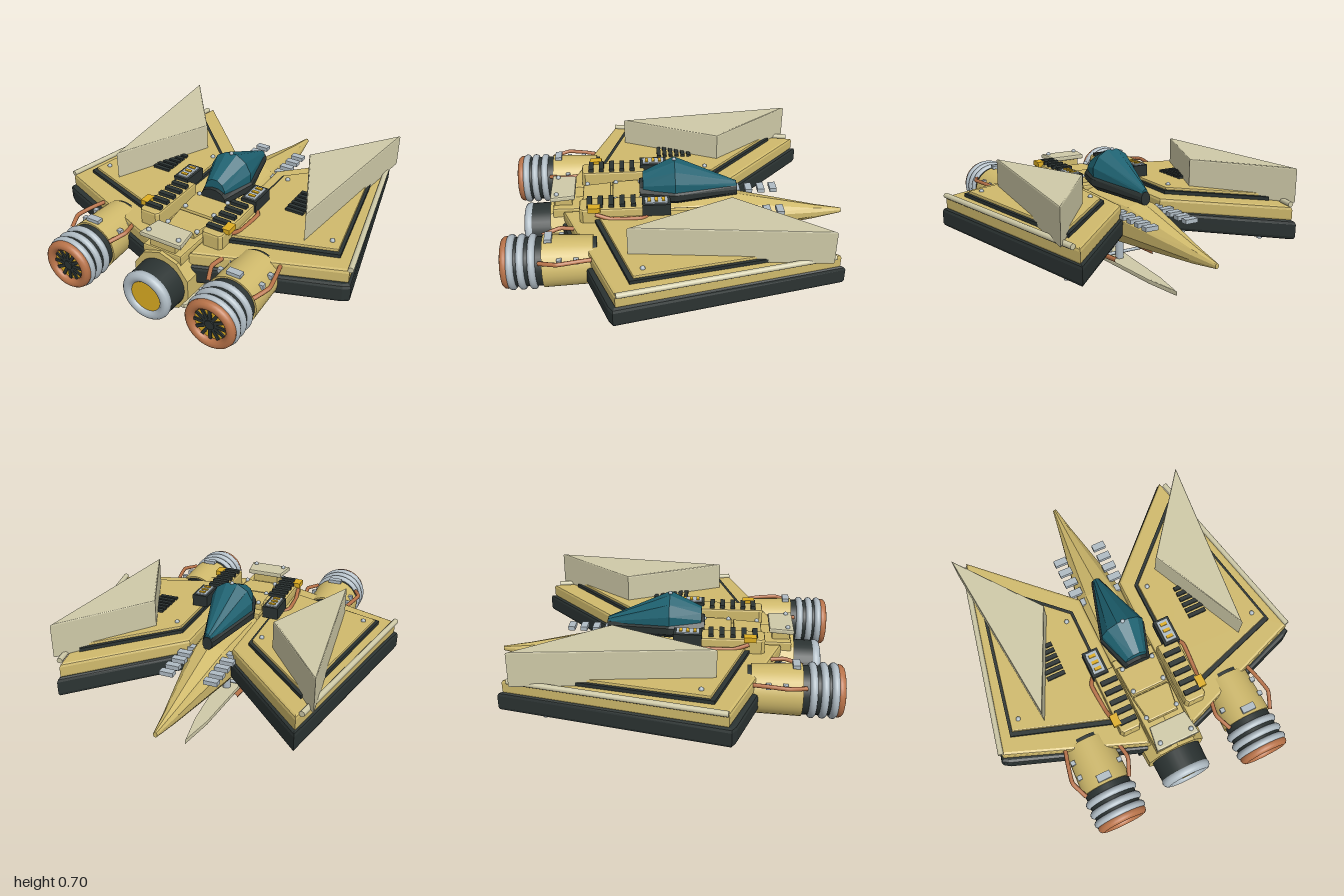
import * as THREE from 'three';

const mat = (name, color) => Object.assign(new THREE.MeshStandardMaterial({ color }), { name });
const sand = mat('sand', 0xd0ba6c), dark = mat('charcoal', 0x2b3332), teal = mat('teal glass', 0x1e6271),
  cream = mat('cream', 0xcfcaa8), silver = mat('silver', 0xb0bcc4), copper = mat('copper', 0xb97349),
  gold = mat('gold', 0xdeae22), slate = mat('slate', 0x3e4353);

export function createModel() {
  const root = new THREE.Group();
  root.name = 'starfighter';
  const V = (x, y, z) => new THREE.Vector3(x, y, z);

  function add(name, geo, material, x = 0, y = 0, z = 0) {
    const m = new THREE.Mesh(geo, material);
    m.name = name;
    m.position.set(x, y, z);
    root.add(m);
    return m;
  }
  const box = (name, m, w, h, d, x, y, z) => add(name, new THREE.BoxGeometry(w, h, d), m, x, y, z);

  // cylinder along z from z0 to z1
  const cyl = (name, m, r0, r1, z0, z1, x, y, n = 32) =>
    add(name, new THREE.CylinderGeometry(r1, r0, z1 - z0, n).rotateX(Math.PI / 2), m, x, y, (z0 + z1) / 2);

  const ring = (name, m, r, tube, x, y, z) => add(name, new THREE.TorusGeometry(r, tube, 12, 40), m, x, y, z);

  // straight round bar between two points
  function rod(name, m, a, b, r) {
    const d = b.clone().sub(a), mid = a.clone().add(b).multiplyScalar(0.5);
    const mesh = add(name, new THREE.CylinderGeometry(r, r, d.length(), 10), m, mid.x, mid.y, mid.z);
    mesh.quaternion.setFromUnitVectors(V(0, 1, 0), d.normalize());
  }

  const pipe = (name, m, pts, r) => add(name, new THREE.TubeGeometry(
    new THREE.CatmullRomCurve3(pts, false, 'catmullrom', 0.2), 24, r, 8), m);

  // flat plate from an x,z outline, between two heights, with bevelled edges
  function plate(name, m, pts, y0, y1, bevel, s = 1) {
    const shape = new THREE.Shape(pts.map(([x, z]) => new THREE.Vector2(x * s, -z)));
    const geo = new THREE.ExtrudeGeometry(shape, {
      depth: y1 - y0 - 2 * bevel, bevelEnabled: bevel > 0, bevelSize: bevel,
      bevelThickness: bevel, bevelOffset: -bevel, bevelSegments: 2,
    });
    return add(name, geo.translate(0, 0, bevel).rotateX(-Math.PI / 2), m, 0, y0, 0);
  }

  // faceted body through elliptical sections [z, centreY, rx, ry]
  function loft(name, m, sections, n) {
    const p = ([z, cy, rx, ry], j) => {
      const a = (j + 0.5) / n * Math.PI * 2;
      return [rx * Math.cos(a), cy + ry * Math.sin(a), z];
    };
    const first = sections[0], last = sections.at(-1), v = [];
    for (let j = 0; j < n; j++) {
      for (let i = 0; i < sections.length - 1; i++) {
        const a = p(sections[i], j), b = p(sections[i], j + 1), c = p(sections[i + 1], j), d = p(sections[i + 1], j + 1);
        v.push(...a, ...b, ...c, ...b, ...d, ...c);
      }
      v.push(0, first[1], first[0], ...p(first, j + 1), ...p(first, j));
      v.push(0, last[1], last[0], ...p(last, j), ...p(last, j + 1));
    }
    const geo = new THREE.BufferGeometry();
    geo.setAttribute('position', new THREE.Float32BufferAttribute(v, 3));
    geo.computeVertexNormals();
    return add(name, geo, m);
  }

  // fuselage, spine and canopy
  loft('fuselage', sand, [[-1, 0.285, 0.012, 0.015], [-0.83, 0.285, 0.042, 0.045], [-0.3, 0.31, 0.145, 0.135],
    [0.1, 0.29, 0.18, 0.16], [0.55, 0.27, 0.195, 0.185], [0.76, 0.26, 0.18, 0.185]], 10);
  plate('spine', sand, [[-0.13, 0.15], [0.13, 0.15], [0.12, 0.74], [-0.12, 0.74]], 0.34, 0.45, 0.01);
  plate('spinePanelFront', sand, [[-0.125, 0.21], [0.125, 0.21], [0.115, 0.395], [-0.115, 0.395]], 0.44, 0.485, 0.01);
  plate('spinePanelRear', sand, [[-0.115, 0.405], [0.115, 0.405], [0.09, 0.57], [-0.09, 0.57]], 0.44, 0.48, 0.01);
  plate('rearDeckPlate', cream, [[-0.11, 0.61], [0.11, 0.61], [0.13, 0.75], [-0.13, 0.75]], 0.5, 0.53, 0.008);
  box('rearDeckSupport', sand, 0.16, 0.08, 0.1, 0, 0.465, 0.68);
  loft('canopyBase', dark, [[-0.345, 0.47, 0.03, 0.04], [0.03, 0.5, 0.145, 0.075], [0.235, 0.49, 0.08, 0.06]], 12);
  loft('canopy', teal, [[-0.34, 0.49, 0.02, 0.035], [0.03, 0.55, 0.133, 0.14], [0.215, 0.525, 0.068, 0.08]], 12);
  add('canopyStud', new THREE.SphereGeometry(0.012, 10, 8), silver, 0, 0.685, 0.03);

  // main engine
  cyl('mainEngine', dark, 0.15, 0.145, 0.74, 0.89, 0, 0.25);
  ring('mainEngineRing', silver, 0.12, 0.03, 0, 0.25, 0.89);
  cyl('mainEngineGlow', gold, 0.1, 0.1, 0.88, 0.9, 0, 0.25);

  // landing ski and its struts
  plate('ski', cream, [[0, -0.67], [0.04, -0.45], [0.08, 0.1], [0.08, 0.62], [0.06, 0.65],
    [-0.06, 0.65], [-0.08, 0.62], [-0.08, 0.1], [-0.04, -0.45]], 0, 0.026, 0.006);
  box('skiMount', dark, 0.1, 0.06, 0.4, 0, 0.055, 0.3);
  for (const z of [-0.06, 0.08, 0.3]) rod('skiStrut', silver, V(0, 0.02, z), V(0, 0.2, z), 0.025);
  for (const z of [-0.02, 0.25, 0.5]) rod('skiCrossBar', silver, V(-0.2, 0.045, z), V(0.2, 0.045, z), 0.01);

  const wingLower = [[0.67, -0.845], [0.937, 0.4], [0.9, 0.425], [0.13, 0.7], [0.13, -0.315]];
  const wingUpper = [[0.665, -0.815], [0.915, 0.385], [0.13, 0.68], [0.13, -0.295]];
  const panel = [[0.64, -0.65], [0.205, -0.23], [0.205, 0.3], [0.25, 0.5], [0.83, 0.31], [0.67, -0.58]];
  const shrink = (pts, k, cx, cz) => pts.map(([x, z]) => [cx + (x - cx) * k, cz + (z - cz) * k]);

  for (const s of [1, -1]) {
    // wing layers
    plate('wingLower', dark, wingLower, 0.255, 0.365, 0.02, s);
    plate('wingUpper', sand, wingUpper, 0.355, 0.442, 0.018, s);
    plate('wingPanelTrim', dark, panel, 0.43, 0.462, 0, s);
    plate('wingPanel', sand, shrink(panel, 0.94, 0.48, -0.02), 0.44, 0.478, 0.006, s);
    plate('wingUnderside', slate, shrink(wingLower, 0.86, 0.52, 0), 0.249, 0.257, 0, s);
    rod('wingEdgeRail', cream, V(s * 0.685, 0.445, -0.78), V(s * 0.918, 0.445, 0.38), 0.016);
    for (const [x, z] of [[0.265, -0.18], [0.75, 0.24]])
      add('wingStud', new THREE.SphereGeometry(0.014, 10, 8), silver, s * x, 0.48, z);

    // upright wedge fin and the vent beside it
    plate('fin', cream, [[0.737, -0.757], [0.358, -0.265], [0.62, 0.315]], 0.44, 0.64, 0.008, s);
    for (let i = 0; i < 6; i++) box('wingVentSlat', dark, 0.11, 0.02, 0.024, s * 0.455, 0.482, -0.09 + i * 0.038);

    // cooling tabs beside the nose
    for (let i = 0; i < 5; i++) box('noseTab', silver, 0.08, 0.025, 0.042, s * 0.13, 0.39, -0.59 + i * 0.076);

    // vent box with slats, latch and control block
    plate('ventBox', sand, [[0.14, 0.2], [0.265, 0.2], [0.265, 0.56], [0.25, 0.58], [0.155, 0.58], [0.14, 0.56]], 0.34, 0.53, 0.012, s);
    for (let i = 0; i < 5; i++) box('ventSlat', dark, 0.1, 0.025, 0.028, s * 0.2, 0.537, 0.275 + i * 0.062);
    box('ventLatch', gold, 0.045, 0.03, 0.07, s * 0.265, 0.535, 0.495);
    box('controlBlock', dark, 0.095, 0.07, 0.16, s * 0.227, 0.515, 0.145);
    box('controlFace', silver, 0.065, 0.01, 0.13, s * 0.227, 0.552, 0.145);
    for (const z of [0.105, 0.145, 0.185]) box('controlKey', gold, 0.04, 0.008, 0.018, s * 0.227, 0.559, z);

    // studs along the spine
    for (const [z, y] of [[0.23, 0.487], [0.375, 0.487], [0.545, 0.482], [0.715, 0.532]])
      add('spineStud', new THREE.SphereGeometry(0.014, 10, 8), silver, s * 0.095, y, z);

    // side engine
    const ex = s * 0.45, ey = 0.33;
    cyl('engineBody', sand, 0.135, 0.145, 0.5, 0.775, ex, ey);
    cyl('engineCollar', dark, 0.125, 0.125, 0.48, 0.505, ex, ey);
    cyl('engineNeck', dark, 0.135, 0.135, 0.77, 0.96, ex, ey);
    for (const z of [0.83, 0.89, 0.945]) ring('engineCoil', silver, 0.133, 0.021, ex, ey, z);
    ring('engineLip', copper, 0.118, 0.027, ex, ey, 0.973);
    cyl('engineGlow', gold, 0.1, 0.1, 0.95, 0.972, ex, ey);
    cyl('engineHub', dark, 0.027, 0.027, 0.96, 0.985, ex, ey, 16);
    for (let i = 0; i < 12; i++) {
      const a = i / 12 * Math.PI * 2;
      const spoke = box('engineSpoke', dark, 0.08, 0.018, 0.016, ex + Math.cos(a) * 0.062, ey + Math.sin(a) * 0.062, 0.972);
      spoke.rotation.z = a;
    }
    for (const side of [1, -1]) {
      for (const z of [0.59, 0.68]) box('engineBolt', silver, 0.026, 0.026, 0.026, ex + side * 0.122, 0.41, z);
      pipe('enginePipe', copper, [V(ex + side * 0.13, 0.42, 0.5), V(ex + side * 0.15, 0.425, 0.58),
        V(ex + side * 0.17, 0.425, 0.69), V(ex + side * 0.13, 0.41, 0.79)], 0.012);
    }
    box('engineTopClip', silver, 0.08, 0.02, 0.04, ex, 0.485, 0.74);
    pipe('ventPipe', copper, [V(s * 0.265, 0.47, 0.19), V(s * 0.295, 0.48, 0.24), V(s * 0.285, 0.475, 0.4), V(s * 0.27, 0.5, 0.49)], 0.012);

    // underwing pod held by bars
    box('podBody', cream, 0.12, 0.08, 0.26, s * 0.46, 0.19, 0);
    add('podSensor', new THREE.CylinderGeometry(0.035, 0.035, 0.1, 20).rotateX(Math.PI / 2), silver, s * 0.46, 0.14, -0.02);
    for (const [x, z] of [[0.63, -0.6], [0.8, 0.32], [0.24, 0.45], [0.22, -0.2]]) {
      rod('podBar', silver, V(s * 0.46, 0.22, 0), V(s * x, 0.22, z), 0.012);
      rod('podBarPost', silver, V(s * x, 0.205, z), V(s * x, 0.26, z), 0.016);
    }

    // belly tanks and feed pipes
    plate('bellyTank', dark, [[0.11, 0.2], [0.18, 0.2], [0.18, 0.65], [0.11, 0.65]], 0.02, 0.09, 0.01, s);
    pipe('bellyPipe', copper, [V(s * 0.17, 0.16, 0.65), V(s * 0.165, 0.105, 0.43), V(s * 0.15, 0.06, 0.22), V(s * 0.13, 0.095, -0.25)], 0.015);
  }
  return root;
}
